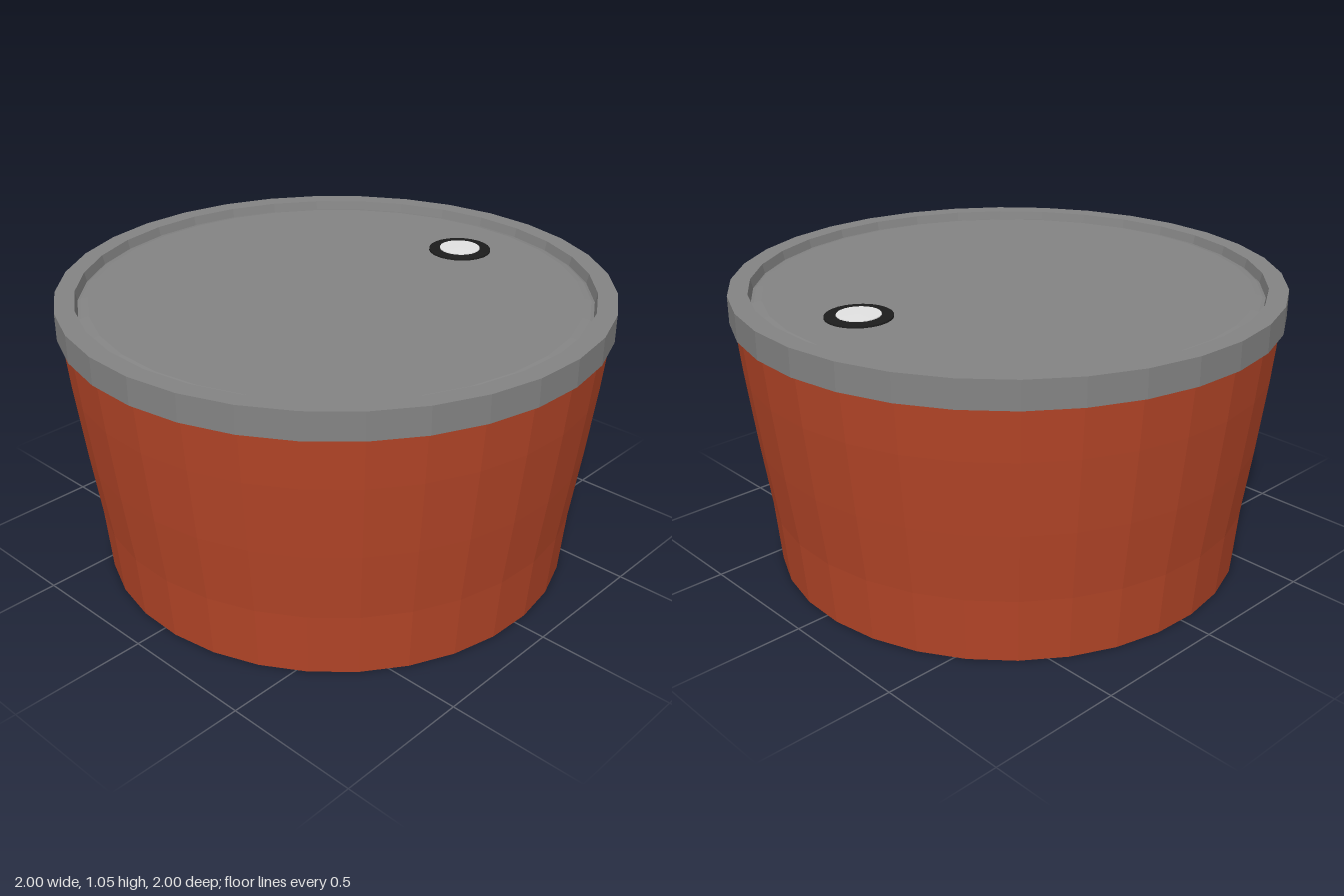
import * as THREE from 'three';

const SEGMENTS = 32;
const TURN = 0.0628; // facets are turned slightly off the axes

const flat = (name, color) => {
  const m = new THREE.MeshStandardMaterial({ color, flatShading: true });
  m.name = name;
  return m;
};

export function createModel() {
  const group = new THREE.Group();
  group.name = 'drum';

  const red = flat('redShell', 0xb64628);
  const grey = flat('greyHead', 0x848484);
  const black = flat('blackRing', 0x1c1c1c);
  const pale = flat('paleBottom', 0xd6d6d6);
  const light = flat('lightMetal', 0xe2e2e2);

  // Revolve a profile of [radius, height]; bottom to top faces outward
  const lathe = (name, profile, material, segments = SEGMENTS, start = TURN) => {
    const points = profile.map(([r, y]) => new THREE.Vector2(r, y));
    const mesh = new THREE.Mesh(new THREE.LatheGeometry(points, segments, start), material);
    mesh.name = name;
    group.add(mesh);
    return mesh;
  };

  // Flared shell
  lathe('shell', [[0.88, 0], [0.9, 0.24], [0.935, 0.5], [0.967, 0.77], [0.985, 0.96]], red);

  // Bottom lip and the slightly recessed bottom head
  lathe('bottomLip', [[0.865, 0.014], [0.867, 0], [0.88, 0]], pale);
  lathe('bottomHead', [[0, 0.014], [0.867, 0.014]], pale);

  // Hoop: underside, outer wall, flat top and inner wall
  lathe('hoop', [[0.98, 0.955], [1, 0.955], [1, 1.055], [0.93, 1.055], [0.922, 1.02]], grey);

  // Top head with a shallow bevel inside the hoop
  lathe('topHead', [[0.922, 1.02], [0.91, 1.026], [0.885, 1.031], [0, 1.031]], grey);

  // Round vent set into the top head
  const ring = lathe('ventRing',
    [[0.119, 1.03], [0.118, 1.037], [0.077, 1.039]], black, 24, 0);
  const cap = lathe('ventCap', [[0.078, 1.037], [0.077, 1.042], [0, 1.043]], light, 24, 0);
  for (const part of [ring, cap]) part.position.set(0.623, 0, 0.072);

  return group;
}
